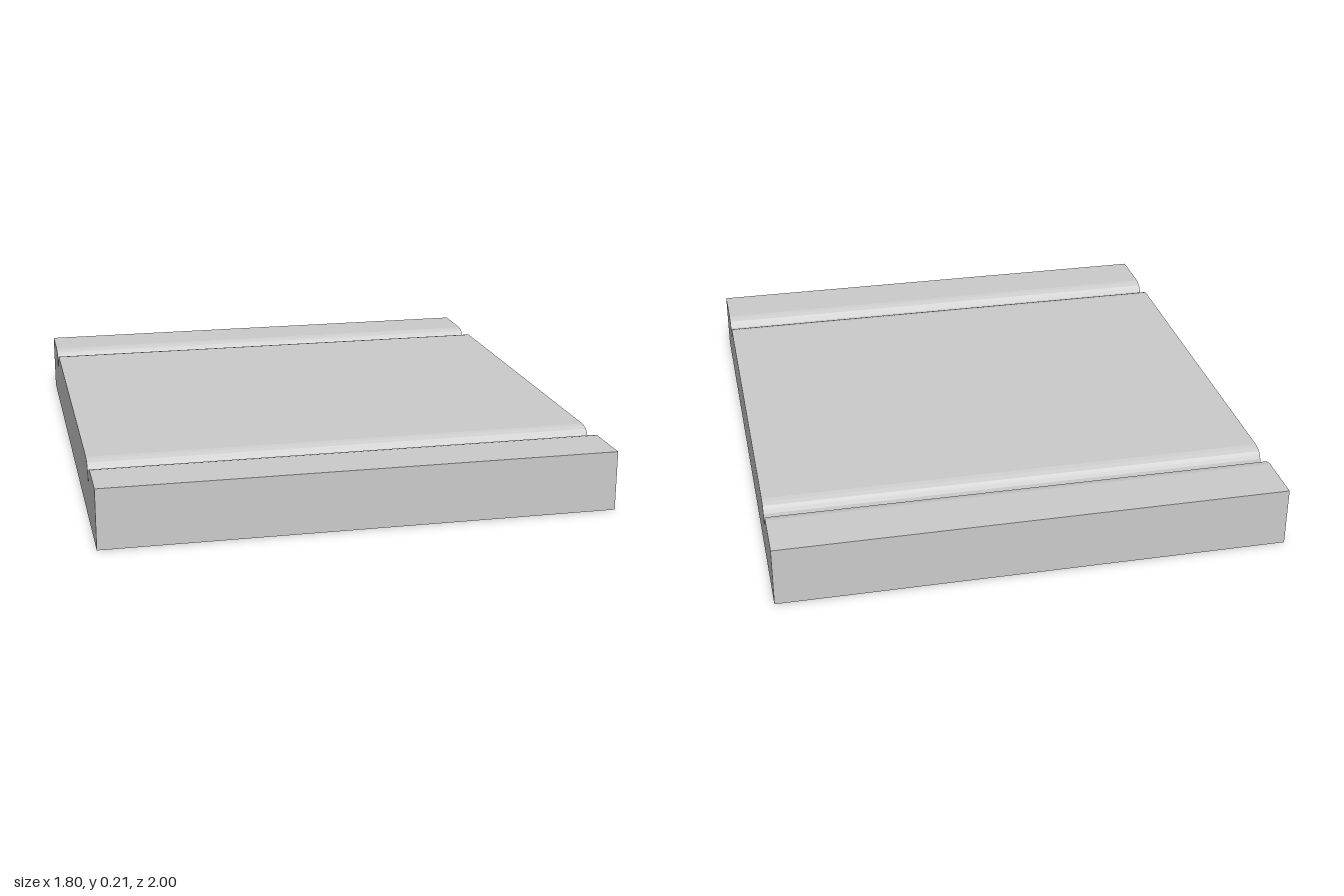
import * as THREE from 'three';

const WIDTH = 1.8, HALF_DEPTH = 1, HEIGHT = 0.213, GROOVE_Z = 0.742;

// Half of a groove, from its outer lip to its floor: [distance from centre, height]
const HALF_GROOVE = [
  [0.072, HEIGHT], [0.055, 0.21], [0.037, 0.204], [0.027, 0.195],
  [0.019, 0.182], [0.015, 0.168], [0.013, 0.15],
];

export function createModel() {
  const group = new THREE.Group();
  group.name = 'groovedSlab';

  // Side profile in (z, y), with a rounded-lip groove near each end
  const profile = new THREE.Shape();
  profile.moveTo(-HALF_DEPTH, 0);
  profile.lineTo(HALF_DEPTH, 0);
  profile.lineTo(HALF_DEPTH, HEIGHT);
  for (const centre of [GROOVE_Z, -GROOVE_Z]) {
    for (const [d, y] of HALF_GROOVE) profile.lineTo(centre + d, y);
    for (const [d, y] of [...HALF_GROOVE].reverse()) profile.lineTo(centre - d, y);
  }
  profile.lineTo(-HALF_DEPTH, HEIGHT);
  profile.closePath();

  // Extrude the profile across the full width, then turn it to run along x
  const geometry = new THREE.ExtrudeGeometry(profile, { depth: WIDTH, bevelEnabled: false });
  geometry.translate(0, 0, -WIDTH / 2);
  geometry.rotateY(-Math.PI / 2);

  const slab = new THREE.Mesh(geometry, new THREE.MeshStandardMaterial({ color: 0xcccccc }));
  slab.name = 'slab';
  group.add(slab);
  return group;
}
